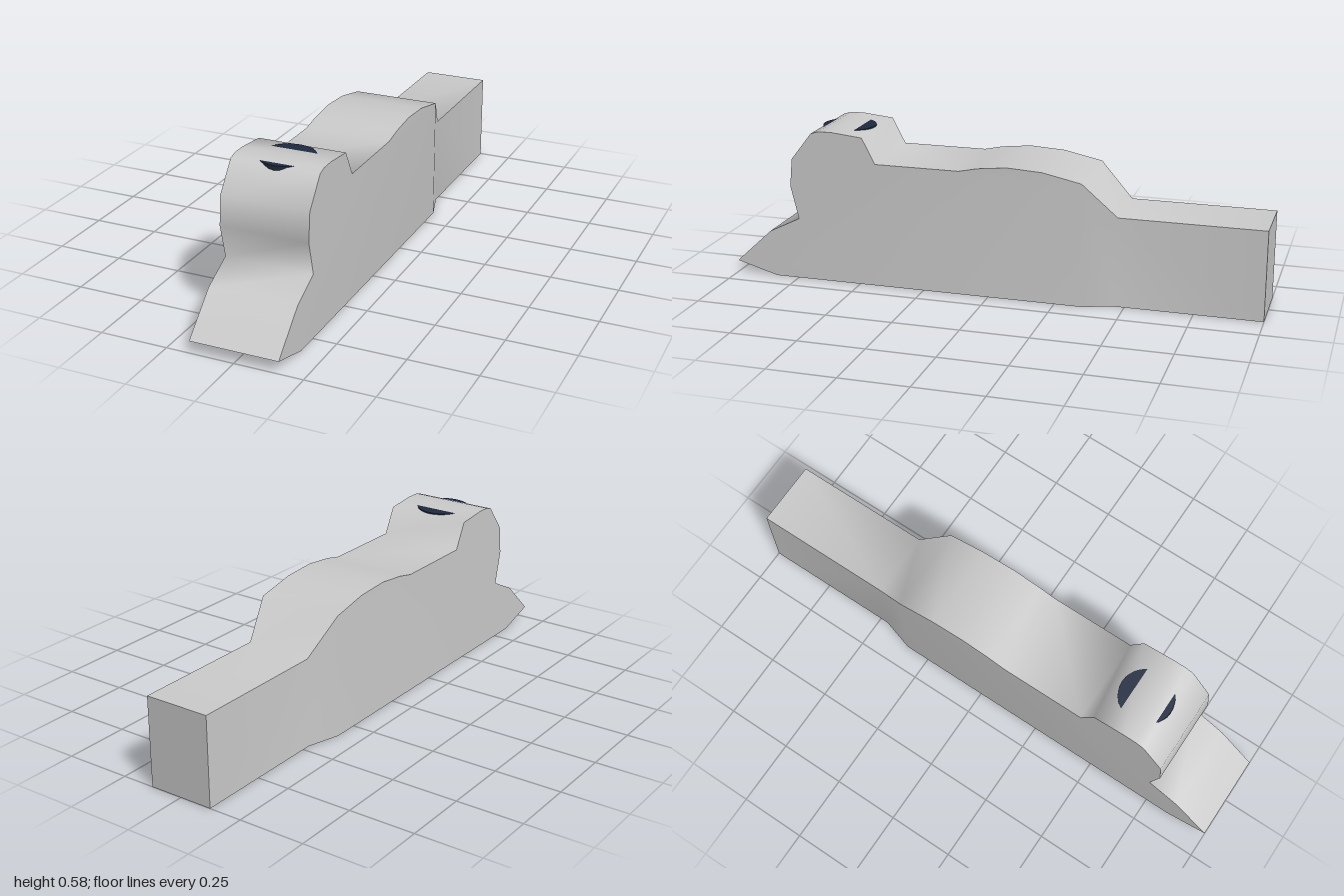
import * as THREE from 'three';
import { toCreasedNormals } from 'three/addons/utils/BufferGeometryUtils.js';

// Side outline as [z, y], from the front tip over the top and back underneath
const outline = [
  [1, 0.045], [0.86, 0.175], [0.74, 0.235], [0.77, 0.36], [0.76, 0.465],
  [0.68, 0.568], [0.65, 0.577], [0.6, 0.578], [0.48, 0.566], [0.43, 0.47],
  [0.11, 0.47], [0.04, 0.485], [-0.07, 0.497], [-0.2, 0.49], [-0.345, 0.46],
  [-0.47, 0.335], [-1, 0.335], [-1, 0], [-0.47, 0], [-0.345, 0], [0.84, 0],
];

// Half width: wide body, short taper, narrow tail
const halfWidth = (z) => THREE.MathUtils.mapLinear(
  THREE.MathUtils.clamp(z, -0.47, -0.345), -0.47, -0.345, 0.125, 0.163);

function bodyGeometry() {
  const positions = [];
  const put = (i, side) => {
    const [z, y] = outline[i];
    positions.push(side * halfWidth(z), y, z);
  };

  // Top, end and underside strip
  outline.forEach((_, i) => {
    const j = (i + 1) % outline.length;
    put(i, -1); put(i, 1); put(j, 1);
    put(i, -1); put(j, 1); put(j, -1);
  });

  // Side walls: body, taper and tail
  const front = outline.map((_, i) => i).filter((i) => i <= 14 || i >= 19);
  for (const part of [front, [14, 15, 18, 19], [15, 16, 17, 18]]) {
    const contour = part.map((i) => new THREE.Vector2(...outline[i]));
    for (const [a, b, c] of THREE.ShapeUtils.triangulateShape(contour, [])) {
      put(part[a], -1); put(part[b], -1); put(part[c], -1);
      put(part[a], 1); put(part[c], 1); put(part[b], 1);
    }
  }

  const geometry = new THREE.BufferGeometry();
  geometry.setAttribute('position', new THREE.Float32BufferAttribute(positions, 3));
  return toCreasedNormals(geometry, THREE.MathUtils.degToRad(77.7));
}

export function createModel() {
  const group = new THREE.Group();
  group.name = 'model';

  const body = new THREE.Mesh(bodyGeometry(), new THREE.MeshStandardMaterial({ color: 0xcccccc }));
  body.name = 'body';
  group.add(body);

  // Dark disc sunk into the raised top, showing only at its front and rear
  const disc = new THREE.Mesh(
    new THREE.CylinderGeometry(0.1, 0.1, 0.03, 32),
    new THREE.MeshStandardMaterial({ color: 0x1f2a40 }));
  disc.name = 'topDisc';
  disc.position.set(0, 0.557, 0.59);
  group.add(disc);

  return group;
}
